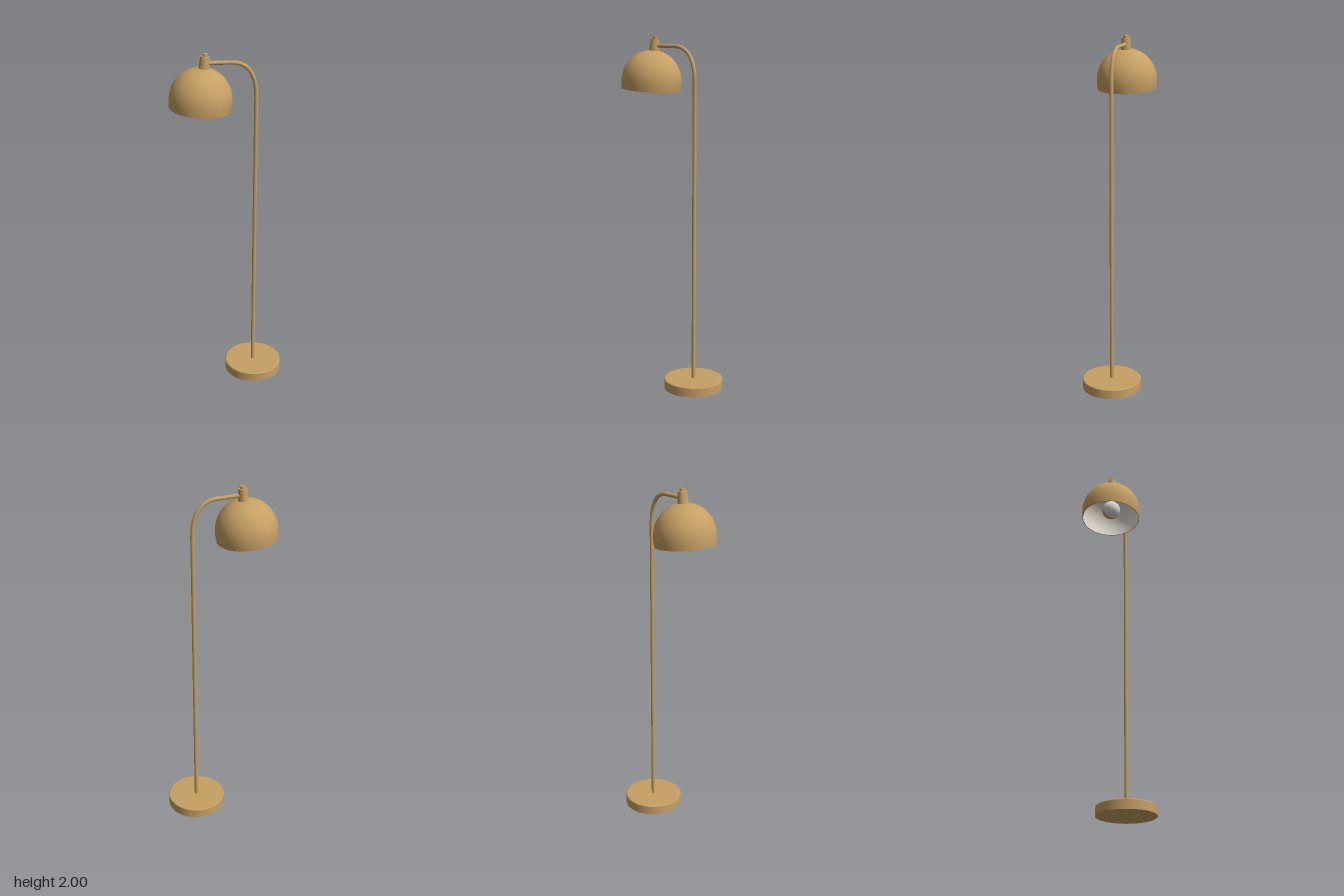
import * as THREE from 'three';

export function createModel() {
  const brass = new THREE.MeshStandardMaterial({ color: 0xc6a064 });
  brass.name = 'brass';
  const lining = new THREE.MeshStandardMaterial({ color: 0xe8e2d6 });
  lining.name = 'white lining';
  const glass = new THREE.MeshStandardMaterial({ color: 0xdcdcda });
  glass.name = 'bulb glass';

  const lamp = new THREE.Group();
  lamp.name = 'floorLamp';

  const add = (parent, name, geometry, material, x = 0, y = 0, z = 0) => {
    const mesh = new THREE.Mesh(geometry, material);
    mesh.name = name;
    mesh.position.set(x, y, z);
    parent.add(mesh);
    return mesh;
  };
  const cylinder = (rTop, rBottom, h, sides = 32) => new THREE.CylinderGeometry(rTop, rBottom, h, sides);

  const poleX = 0.153;

  // Round base with a slightly eased top edge
  add(lamp, 'base', cylinder(0.169, 0.169, 0.052, 64), brass, poleX, 0.026);
  add(lamp, 'baseTopEdge', cylinder(0.165, 0.169, 0.004, 64), brass, poleX, 0.054);

  // Straight pole, quarter bend and arm as one tube
  const path = new THREE.CurvePath();
  const v = (x, y) => new THREE.Vector3(x, y, 0);
  path.add(new THREE.LineCurve3(v(poleX, 0.05), v(poleX, 1.74)));
  path.add(new THREE.CubicBezierCurve3(v(poleX, 1.74), v(poleX, 1.86), v(0.115, 1.94), v(0.015, 1.943)));
  path.add(new THREE.LineCurve3(v(0.015, 1.943), v(-0.125, 1.947)));
  add(lamp, 'poleAndArm', new THREE.TubeGeometry(path, 160, 0.011, 14), brass);

  // Lamp head, tilted about the centre of the shade rim
  const head = new THREE.Group();
  head.name = 'head';
  head.position.set(-0.155, 1.7, 0);
  head.rotation.z = -0.089;
  lamp.add(head);

  // Dome profile from rim to crown, inset by t for the lining
  const dome = (t) => {
    const points = [new THREE.Vector2(0.167 - t, 0), new THREE.Vector2(0.17 - t, 0.025)];
    for (let i = 0; i <= 20; i++) {
      const a = (i / 20) * Math.PI / 2;
      points.push(new THREE.Vector2(Math.max(0, (0.17 - t) * Math.cos(a)), 0.05 + (0.174 - t) * Math.sin(a)));
    }
    return points;
  };
  add(head, 'shade', new THREE.LatheGeometry(dome(0), 64), brass);
  add(head, 'shadeLining', new THREE.LatheGeometry(dome(0.004).reverse(), 64), lining);
  const rim = add(head, 'shadeRim', new THREE.RingGeometry(0.163, 0.167, 64), brass);
  rim.rotation.x = Math.PI / 2;

  // Socket cap and finial above the shade
  add(head, 'socketCap', cylinder(0.024, 0.03, 0.07), brass, 0.005, 0.25);
  add(head, 'finial', cylinder(0.014, 0.014, 0.015), brass, 0.006, 0.2915);

  // Bulb holder and bulb, one half plated
  add(head, 'bulbHolder', cylinder(0.025, 0.025, 0.11), brass, 0, 0.16);
  const bulb = new THREE.Group();
  bulb.name = 'bulb';
  bulb.position.y = 0.062;
  bulb.rotation.y = Math.PI / 4;
  head.add(bulb);
  const half = (start) => new THREE.SphereGeometry(0.053, 20, 20, start, Math.PI);
  add(bulb, 'bulbPlatedHalf', half(Math.PI / 2), brass);
  add(bulb, 'bulbGlassHalf', half(-Math.PI / 2), glass);

  return lamp;
}
